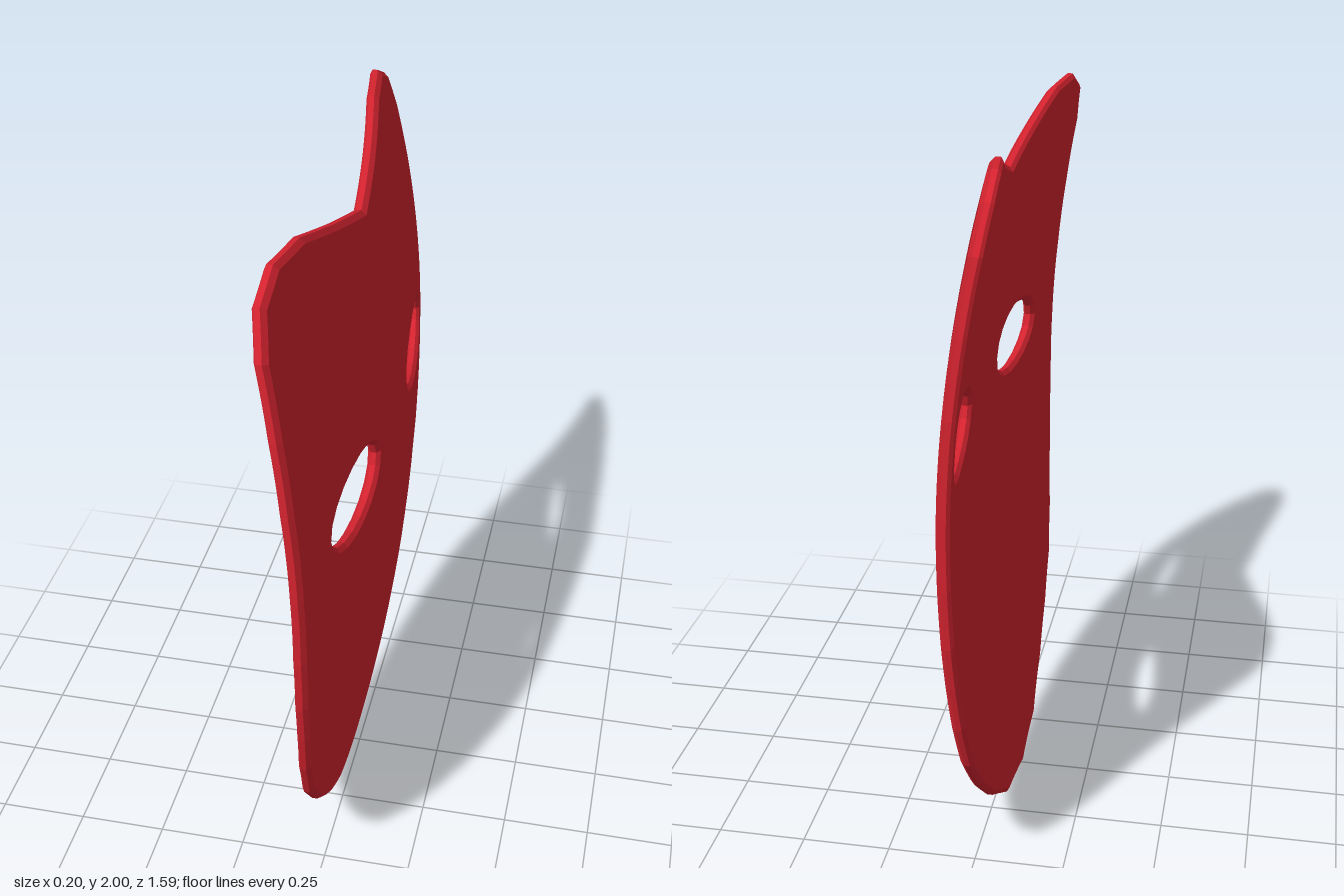
import * as THREE from 'three';

const red = new THREE.MeshStandardMaterial({ color: 0xd4232f });
red.name = 'mask red';

const THICK = 0.035;
const BEVEL = 0.01;

// Half outline, from the brow notch round to the chin: [sideways, up]
const HALF = [
  [0, 1.86], [0.22, 1.925], [0.43, 1.99], [0.59, 2.0], [0.7, 1.95], [0.76, 1.84],
  [0.785, 1.65], [0.797, 1.45], [0.797, 1.2], [0.79, 1.0], [0.772, 0.83], [0.745, 0.7],
  [0.71, 0.56], [0.645, 0.41], [0.54, 0.28], [0.4, 0.155], [0.22, 0.045], [0, 0.005],
];

// Flat mask outline with two oval eye holes
function maskShape() {
  const right = HALF.map(([u, v]) => new THREE.Vector2(u, v));
  const left = HALF.slice(1, -1).reverse().map(([u, v]) => new THREE.Vector2(-u, v));
  const shape = new THREE.Shape([...right, ...left]);
  for (const side of [-1, 1]) {
    const eye = [];
    for (let i = 0; i < 18; i++) {
      const a = (i / 18) * Math.PI * 2;
      eye.push(new THREE.Vector2(side * 0.395 + 0.198 * Math.cos(a), 1.253 + 0.094 * Math.sin(a)));
    }
    shape.holes.push(new THREE.Path(eye));
  }
  return shape;
}

// Split every triangle in four so that the plate can bend
function subdivide(geometry) {
  const p = geometry.attributes.position, n = geometry.attributes.normal;
  const pos = [], nor = [];
  const read = (attr, i) => new THREE.Vector3().fromBufferAttribute(attr, i);
  const emit = (attr, out, i) => {
    const [a, b, c] = [0, 1, 2].map((k) => read(attr, i + k));
    const ab = a.clone().lerp(b, 0.5), bc = b.clone().lerp(c, 0.5), ca = c.clone().lerp(a, 0.5);
    for (const v of [a, ab, ca, ab, b, bc, ca, bc, c, ab, bc, ca]) out.push(v.x, v.y, v.z);
  };
  for (let i = 0; i < p.count; i += 3) {
    emit(p, pos, i);
    emit(n, nor, i);
  }
  const out = new THREE.BufferGeometry();
  out.setAttribute('position', new THREE.Float32BufferAttribute(pos, 3));
  out.setAttribute('normal', new THREE.Float32BufferAttribute(nor, 3));
  return out;
}

// Curve of the outer face: bulges towards +x, falls away to every edge
function bulge(y, z) {
  const d = y - 1.1;
  return 0.105 - (d > 0 ? 0.155 : 0.103) * d * d - 0.12 * z * z;
}

export function createModel() {
  const group = new THREE.Group();
  group.name = 'mask';

  let geometry = new THREE.ExtrudeGeometry(maskShape(), {
    depth: THICK - 2 * BEVEL,
    bevelEnabled: true,
    bevelThickness: BEVEL,
    bevelSize: 0.013,
    bevelOffset: -0.013,
    bevelSegments: 1,
    curveSegments: 1,
  });
  geometry.translate(0, 0, BEVEL - THICK);
  geometry.rotateY(Math.PI / 2);
  for (let i = 0; i < 3; i++) geometry = subdivide(geometry);

  // Bend the plate; the even, flat shading of the faces is kept
  const p = geometry.attributes.position;
  for (let i = 0; i < p.count; i++) p.setX(i, p.getX(i) + bulge(p.getY(i), p.getZ(i)));

  const plate = new THREE.Mesh(geometry, red);
  plate.name = 'facePlate';
  group.add(plate);
  return group;
}
